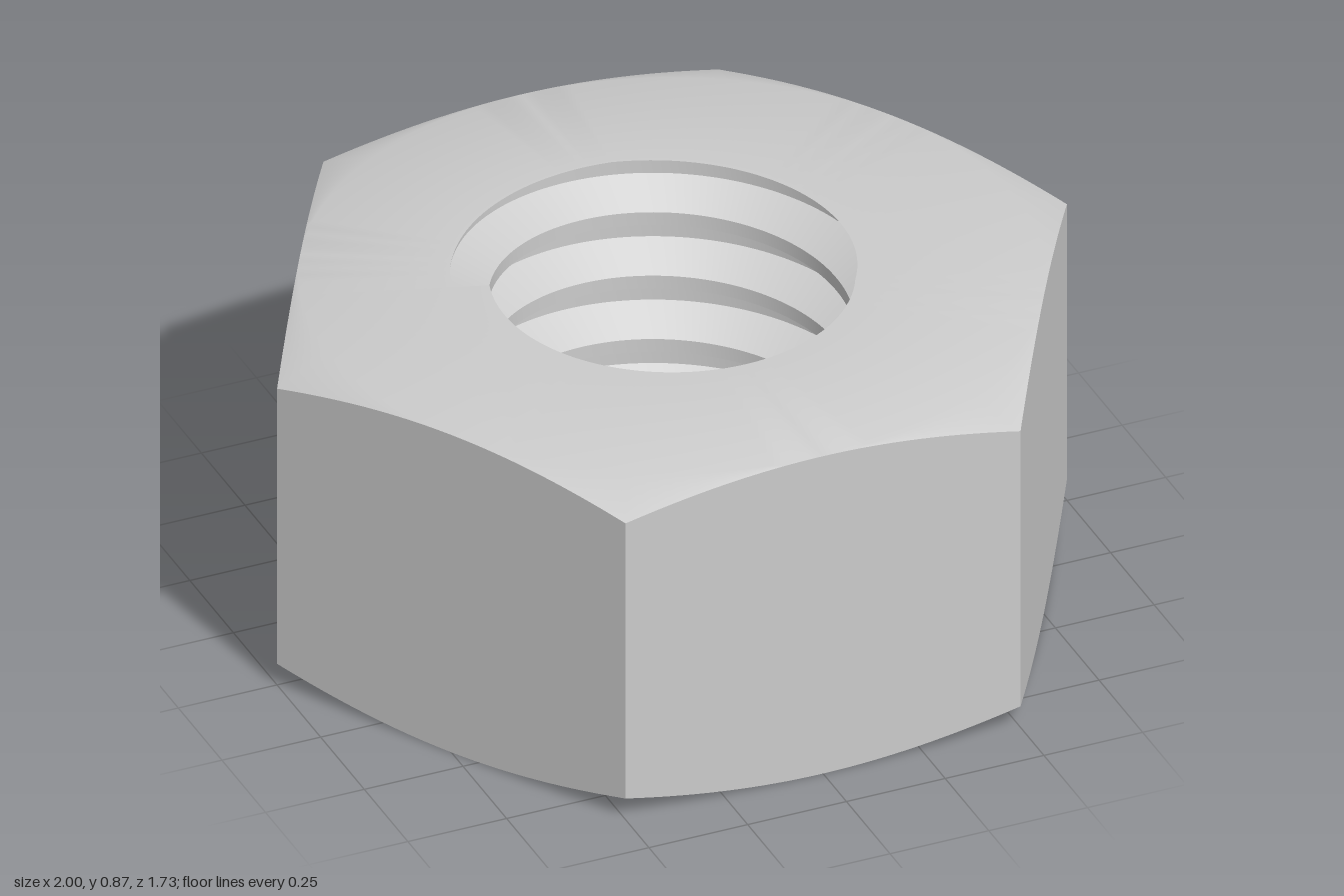
import * as THREE from 'three';
import { toCreasedNormals } from 'three/addons/utils/BufferGeometryUtils.js';

const H = 0.866;             // height
const FLAT = 0.866;          // centre to a flat of the hexagon
const CHAMFER = 0.43;        // drop of the corner chamfer per unit of radius
const BORE = 0.425, DEPTH = 0.09, PITCH = 0.173;
const STEPS = 180, TURNS = 6;
const START = THREE.MathUtils.degToRad(18);   // where the thread groove begins
const PHASE = THREE.MathUtils.degToRad(62);   // where the groove centre meets the top

// Angle c runs clockwise from -x, seen from above.
const point = (c, r, y) => new THREE.Vector3(-r * Math.cos(c), y, -r * Math.sin(c));

const hexRadius = (c) => {
  const sector = Math.PI / 3;
  const a = ((c % sector) + sector) % sector - sector / 2;
  return FLAT / Math.cos(a);
};
const chamferDrop = (c) => (hexRadius(c) - FLAT) * CHAMFER;

// Right-handed helical groove with a flat root and sloping flanks.
const grooveCentre = (c, k) => H - PITCH * ((c - PHASE) / (2 * Math.PI) + k);
function boreRadius(c, y) {
  let depth = 0;
  for (let k = 0; k <= TURNS; k++) {
    const d = Math.abs(y - grooveCentre(c, k)) / PITCH;
    depth = Math.max(depth, THREE.MathUtils.clamp((0.4 - d) / 0.3, 0, 1));
  }
  return BORE + DEPTH * depth;
}
function boreProfile(c) {
  const ys = [0];
  for (let k = TURNS; k >= 0; k--) {
    for (const o of [-0.4, -0.1, 0.1, 0.4]) {
      ys.push(THREE.MathUtils.clamp(grooveCentre(c, k) + o * PITCH, 0, H));
    }
  }
  ys.push(H);
  return ys.map((y) => [boreRadius(c, y), y]);
}

// Joins neighbouring columns of points into a surface, leaving out empty triangles.
function skin(columns) {
  const pos = [];
  const tri = (a, b, c) => {
    const area = b.clone().sub(a).cross(c.clone().sub(a)).length();
    if (area > 1e-9) for (const p of [a, b, c]) pos.push(p.x, p.y, p.z);
  };
  for (let j = 0; j < columns.length - 1; j++) {
    const p = columns[j], q = columns[j + 1];
    for (let i = 0; i < p.length - 1; i++) {
      tri(p[i], q[i], p[i + 1]);
      tri(q[i], q[i + 1], p[i + 1]);
    }
  }
  const g = new THREE.BufferGeometry();
  g.setAttribute('position', new THREE.Float32BufferAttribute(pos, 3));
  return toCreasedNormals(g, 0.5);
}

// Sweeps a radius/height profile, which may change with the angle, once around.
function sweep(profile) {
  const columns = [];
  for (let j = 0; j <= STEPS; j++) {
    // The last column sits on the far side of the groove's start.
    const c = START + (j / STEPS) * 2 * Math.PI;
    columns.push(profile(c).map(([r, y]) => point(c, r, y)));
  }
  return skin(columns);
}

export function createModel() {
  const group = new THREE.Group();
  group.name = 'hexNut';
  const grey = new THREE.MeshStandardMaterial({ color: 0xcccccc });
  const add = (name, geometry, material = grey) => {
    const mesh = new THREE.Mesh(geometry, material);
    mesh.name = name;
    group.add(mesh);
  };

  // Six side faces, scalloped where the chamfer cuts them
  add('sideFaces', sweep((c) => [
    [hexRadius(c), H - chamferDrop(c)],
    [hexRadius(c), chamferDrop(c)],
  ]));

  // Flat top and bottom with conical corner chamfers
  add('topFace', sweep((c) => [
    [boreRadius(c, H), H],
    [FLAT, H],
    [hexRadius(c), H - chamferDrop(c)],
  ]));
  add('bottomFace', sweep((c) => [
    [hexRadius(c), chamferDrop(c)],
    [FLAT, 0],
    [boreRadius(c, 0), 0],
  ]));

  // Threaded bore
  add('thread', sweep(boreProfile));

  // Small wall closing the groove where it starts at the top
  const ys = [-0.4, -0.1, 0.1].map((o) => Math.min(H, grooveCentre(START, 0) + o * PITCH));
  add('threadStart', skin([
    ys.map((y) => point(START, BORE, y)),
    ys.map((y) => point(START, boreRadius(START, y), y)),
  ]), new THREE.MeshStandardMaterial({ color: 0xcccccc, side: THREE.DoubleSide }));

  return group;
}
